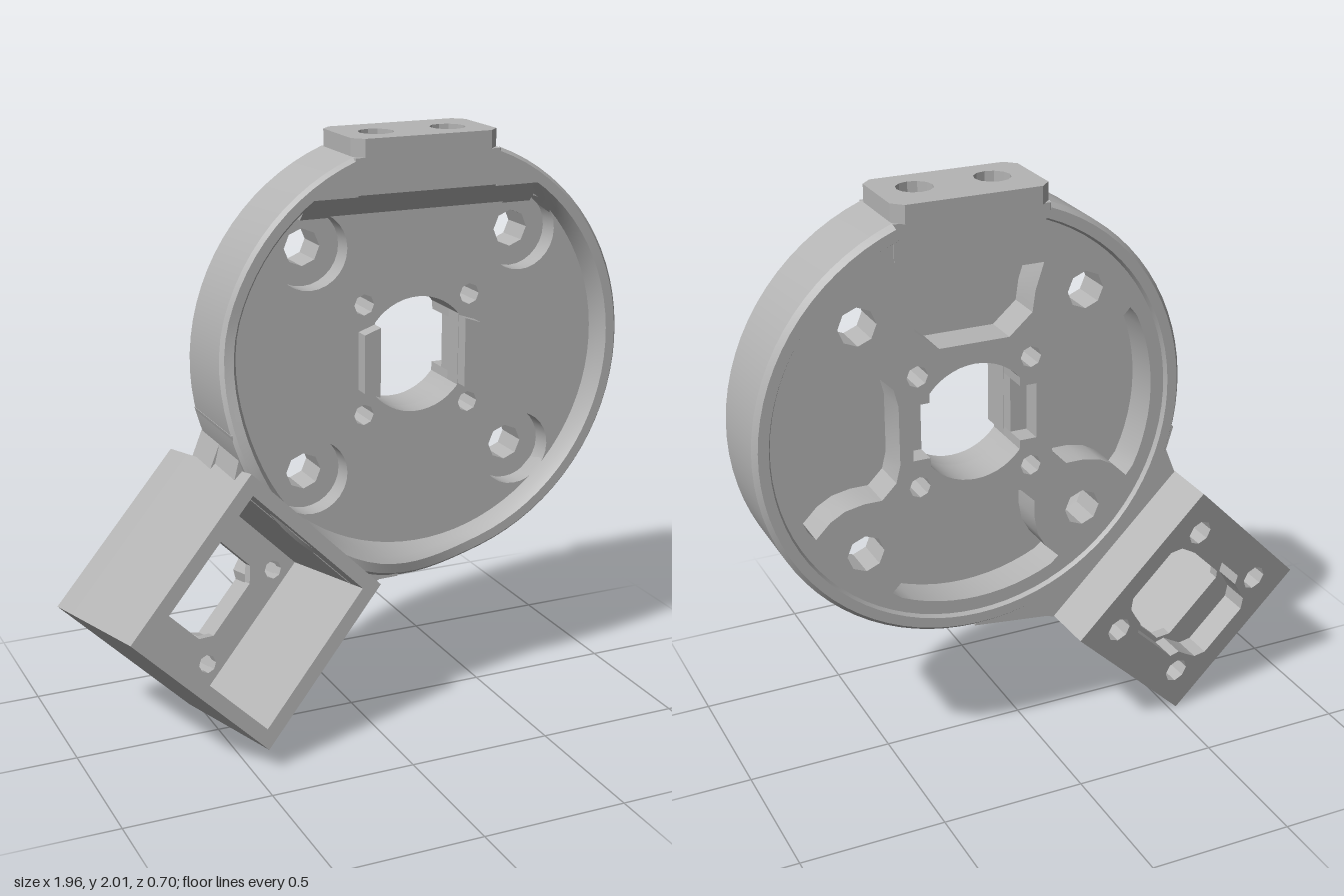
import * as THREE from 'three';
import { toCreasedNormals } from 'three/addons/utils/BufferGeometryUtils.js';

const gray = new THREE.MeshStandardMaterial({ color: 0xb4b4b4 });
gray.name = 'gray plastic';

function add(parent, name, geometry) {
  const mesh = new THREE.Mesh(geometry, gray);
  mesh.name = name;
  parent.add(mesh);
  return mesh;
}

const poly = (pts, Type = THREE.Shape) => new Type(pts.map(([x, y]) => new THREE.Vector2(x, y)));
const rect = (x0, y0, x1, y1, Type) => poly([[x0, y0], [x1, y0], [x1, y1], [x0, y1]], Type);

function circle(x, y, r, n = 20) {
  const pts = [];
  for (let i = 0; i < n; i++) {
    const a = (i / n) * Math.PI * 2;
    pts.push([x + r * Math.cos(a), y + r * Math.sin(a)]);
  }
  return poly(pts, THREE.Path);
}

// Extrude a shape with holes between two z levels
function slab(shape, holes, z0, z1) {
  shape.holes = holes;
  const g = new THREE.ExtrudeGeometry(shape, { depth: z1 - z0, bevelEnabled: false });
  g.translate(0, 0, z0);
  return toCreasedNormals(g, 0.5);
}

// Arc points around the origin, angles in degrees
function arc(r, from, to, n) {
  return Array.from({ length: n + 1 }, (_, i) => {
    const a = THREE.MathUtils.degToRad(from + ((to - from) * i) / n);
    return [r * Math.cos(a), r * Math.sin(a)];
  });
}

// Rim: swept cross-section whose front edge rises towards the socket
function rimGeometry() {
  const segs = 72, start = 110.7, end = 429.3, pos = [], idx = [];
  for (let i = 0; i <= segs; i++) {
    const deg = start + ((end - start) * i) / segs;
    const off = Math.abs(deg - 225);
    const zf = 0.09 + 0.11 * (1 - THREE.MathUtils.smoothstep(off, 18, 62));
    const a = THREE.MathUtils.degToRad(deg);
    const section = [
      [0.74, -0.18], [0.74, zf - 0.015], [0.728, zf], [0.695, zf],
      [0.678, zf - 0.03], [0.67, 0], [0.68, -0.18], [0.69, -0.2], [0.725, -0.2],
    ];
    section.forEach(([r, z]) => pos.push(r * Math.cos(a), r * Math.sin(a), z));
  }
  const m = 9;
  for (let i = 0; i < segs; i++) {
    for (let j = 0; j < m; j++) {
      const a = i * m + j, b = i * m + ((j + 1) % m), c = a + m, d = b + m;
      idx.push(a, c, b, b, c, d);
    }
  }
  const g = new THREE.BufferGeometry();
  g.setAttribute('position', new THREE.Float32BufferAttribute(pos, 3));
  g.setIndex(idx);
  return toCreasedNormals(g, 0.5);
}

function buildHousing() {
  const housing = new THREE.Group();
  housing.name = 'roundHousing';
  housing.position.set(0.235, 1.25, 0);
  add(housing, 'rim', rimGeometry());

  // Floor plate outline, flattened under the top boss
  const outline = () => poly(arc(0.7, 125.5, 414.5, 72));
  const corners = [[1, 1], [-1, 1], [-1, -1], [1, -1]];
  const bores = (r, n) => corners.map(([x, y]) => circle(x * 0.386, y * 0.386, r, n));
  const smallHoles = () => corners.map(([x, y]) => circle(x * 0.195, y * 0.19, 0.036, 8));
  const right = arc(0.2, 39, 141, 14), left = arc(0.2, 219, 321, 14);
  const centre = poly([...right, ...left], THREE.Path);
  add(housing, 'floorFront', slab(outline(), [...bores(0.13, 28), ...smallHoles(), centre], -0.06, 0.015));

  // Back layer: pockets leave a hub and four arms ending in round screw bosses
  const half = [[0.55, 0.3], [0.5, 0.25], [0.45, 0.222], [0.386, 0.21], [0.325, 0.21], [0.275, 0.16], [0.26, 0.1]];
  const pocketSide = [...arc(0.635, -25, 25, 12), ...half, ...half.map(([x, y]) => [x, -y]).reverse()];
  const turn = (k) => poly(pocketSide.map(([x, y]) => {
    const a = (k * Math.PI) / 2;
    return [x * Math.cos(a) - y * Math.sin(a), x * Math.sin(a) + y * Math.cos(a)];
  }), THREE.Path);
  const topPocket = poly([[-0.12, 0.27], [0.12, 0.27], [0.2, 0.34], [0.21, 0.41], [0.24, 0.5], [-0.24, 0.5], [-0.21, 0.41], [-0.2, 0.34]], THREE.Path);
  const slotted = poly([
    ...right, [-0.157, 0.095], [-0.215, 0.095], [-0.215, -0.095], [-0.157, -0.095],
    ...left, [0.157, -0.095], [0.215, -0.095], [0.215, 0.095], [0.157, 0.095],
  ], THREE.Path);
  add(housing, 'floorBack', slab(outline(), [...bores(0.063, 8), ...smallHoles(), slotted, turn(0), turn(2), turn(3), topPocket], -0.185, -0.06));

  for (const s of [-1, 1]) {
    // Tabs either side of the centre hole
    const tab = [[0.157, -0.12], [0.2, -0.105], [0.215, -0.1], [0.215, 0.1], [0.2, 0.105], [0.157, 0.12]];
    add(housing, 'centreTab', slab(poly(tab.map(([x, y]) => [x * s, y])), [], -0.11, 0.065));
    // Solid fill between boss and rim
    const fill = [[0.25, 0.565], ...arc(0.71, 52.8, 69.4, 6)];
    add(housing, 'topFill', slab(poly(fill.map(([x, y]) => [x * s, y])), [], -0.185, 0.09));
  }

  // Sloping ledge under the top boss
  const ledge = slab(poly([[-0.09, 0.575], [-0.01, 0.49], [0.06, 0.49], [0.06, 0.575]]), [], -0.42, 0.42);
  ledge.rotateY(Math.PI / 2);
  add(housing, 'topLedge', ledge);

  // Top boss with two vertical screw holes, its upper pad reaching further back
  const bossPart = (name, back, c, y0, y1) => {
    const w = 0.262;
    const foot = poly([[-w + c, -0.09], [w - c, -0.09], [w, -0.09 + c], [w, back - c], [w - c, back], [-w + c, back], [-w, back - c], [-w, -0.09 + c]]);
    const boss = slab(foot, [circle(-0.13, 0.04, 0.06, 12), circle(0.13, 0.04, 0.06, 12)], y0, y1);
    boss.rotateX(-Math.PI / 2);
    add(housing, name, boss);
  };
  bossPart('topBoss', 0.186, 0.002, 0.57, 0.69);
  bossPart('topPad', 0.2, 0.035, 0.69, 0.75);

  // Neck joining the rim to the socket
  const neck = new THREE.Group();
  neck.name = 'neck';
  neck.rotation.z = THREE.MathUtils.degToRad(225);
  const lower = [[0.66, -0.33], [0.62, -0.405]];
  add(neck, 'neckBack', slab(poly([...arc(0.705, -34, 45, 22), [0.515, 0.533], [0.725, 0.365], [0.765, 0.345], [0.765, -0.285], ...lower]), [], -0.19, -0.02));
  add(neck, 'neckFront', slab(poly([...arc(0.705, -34, 34, 20), [0.61, 0.42], [0.66, 0.372], [0.735, 0.345], [0.735, -0.285], ...lower]), [], -0.02, 0.16));
  housing.add(neck);
  return housing;
}

// Tilted square socket, open at the front
function buildSocket() {
  const socket = new THREE.Group();
  socket.name = 'socket';
  socket.position.set(-0.487, 0.489, 0);
  socket.rotation.set(0, THREE.MathUtils.degToRad(-11), THREE.MathUtils.degToRad(225), 'ZYX');
  const a = 0.33, b = 0.322, wall = 0.05;
  const square = () => rect(-a, -b, a, b);
  const screws = (r) => [[-0.21, -0.215], [-0.21, 0.215], [0.19, -0.215], [0.19, 0.215]].map(([x, y]) => circle(x, y, r, 8));
  add(socket, 'socketWalls', slab(square(), [rect(-a + wall, -b + wall, a - wall, b - wall, THREE.Path)], -0.165, 0.29));

  // Floor window
  const win = poly([[-0.15, -0.15], [0.12, -0.15], [0.14, -0.13], [0.14, 0.13], [0.1, 0.17], [-0.12, 0.17], [-0.17, 0.13], [-0.17, -0.13]], THREE.Path);
  add(socket, 'socketFloor', slab(square(), [win, ...screws(0.033)], -0.2, -0.165));

  // Wider recess in the back face, stepping round the screw holes
  const quarter = [[0.11, 0.185], [0.13, 0.155], [0.18, 0.145], [0.22, 0.135], [0.25, 0.1]];
  const side = [...quarter.map(([x, y]) => [-x - 0.01, y]).reverse(), ...quarter];
  const recess = poly([...side, ...side.map(([x, y]) => [x, -y]).reverse()], THREE.Path);
  add(socket, 'socketBack', slab(square(), [recess, ...screws(0.045)], -0.29, -0.2));
  return socket;
}

export function createModel() {
  const model = new THREE.Group();
  model.name = 'bracket';
  model.add(buildHousing(), buildSocket());
  return model;
}
